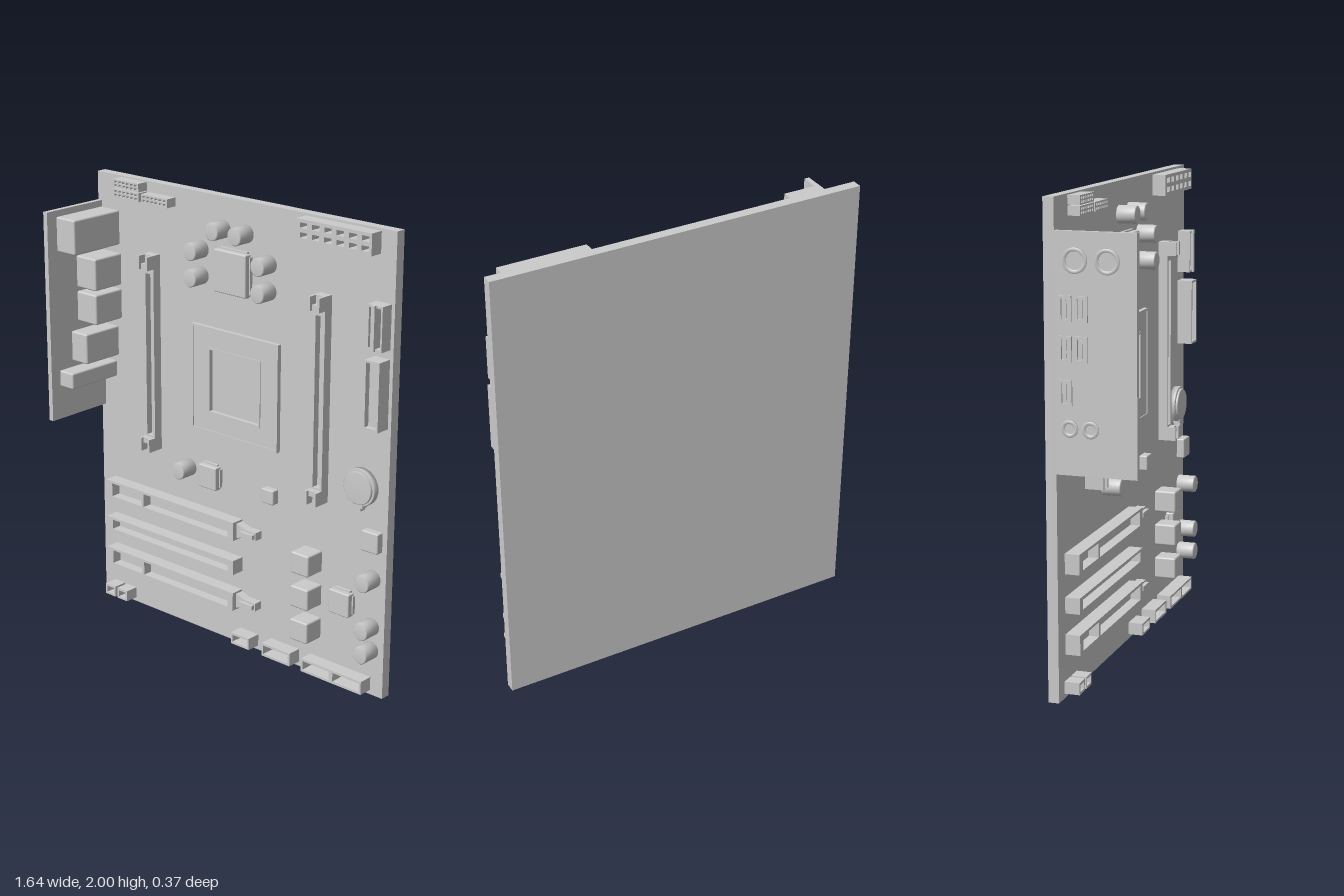
import * as THREE from 'three';
import { RoundedBoxGeometry } from 'three/addons/geometries/RoundedBoxGeometry.js';

const Z = -0.142; // component side of the board
const mat = new THREE.MeshStandardMaterial({ color: 0xcccccc });

export function createModel() {
  const root = new THREE.Group();
  const add = (name, geo, x = 0, y = 0, z = 0) => {
    const m = new THREE.Mesh(geo, mat);
    m.name = name;
    m.position.set(x, y, z);
    root.add(m);
    return m;
  };
  // box given by its limits, standing on the board by default
  const box = (name, x0, x1, y0, y1, z1, z0 = Z) =>
    add(name, new THREE.BoxGeometry(x1 - x0, y1 - y0, z1 - z0), (x0 + x1) / 2, (y0 + y1) / 2, (z0 + z1) / 2);
  const soft = (name, x0, x1, y0, y1, z1, r = 0.008) =>
    add(name, new RoundedBoxGeometry(x1 - x0, y1 - y0, z1 - Z, 2, r), (x0 + x1) / 2, (y0 + y1) / 2, (z1 + Z) / 2);
  const rect = (P, [x0, x1, y0, y1]) => {
    const p = new P();
    p.moveTo(x0, y0).lineTo(x1, y0).lineTo(x1, y1).lineTo(x0, y1).closePath();
    return p;
  };
  // block with rectangular openings through to the board
  const socket = (name, outer, holes, z1, z0 = Z) => {
    const s = rect(THREE.Shape, outer);
    s.holes = holes.map((h) => rect(THREE.Path, h));
    return add(name, new THREE.ExtrudeGeometry(s, { depth: z1 - z0, bevelEnabled: false }), 0, 0, z0);
  };
  const grid = (x0, x1, y0, y1, nx, ny, w, h) => {
    const out = [];
    for (let i = 0; i < nx; i++) for (let j = 0; j < ny; j++) {
      const cx = x0 + ((i + 0.5) * (x1 - x0)) / nx, cy = y0 + ((j + 0.5) * (y1 - y0)) / ny;
      out.push([cx - w / 2, cx + w / 2, cy - h / 2, cy + h / 2]);
    }
    return out;
  };
  const disc = (name, x, y, r, z1, bevel) => {
    const h = z1 - Z;
    const pts = [[0, 0], [r, 0], [r, h - bevel], [r - bevel, h], [0, h]].map(([a, b]) => new THREE.Vector2(a, b));
    const g = new THREE.LatheGeometry(pts, 32).rotateX(Math.PI / 2);
    return add(name, g, x, y, Z);
  };

  // circuit board
  box('board', -0.818, 0.818, 0, 2, Z, -0.187);

  // rear port panel and the port housings behind it
  box('portPanel', -0.818, -0.795, 0.932, 1.874, 0.187);
  [[1.692, 1.846, -0.687, 0.133], [1.512, 1.655, -0.68, 0.02], [1.358, 1.494, -0.68, 0.02],
    [1.183, 1.32, -0.703, 0.06], [1.082, 1.156, -0.716, 0.137]]
    .forEach(([y0, y1, x1, z1]) => soft('portHousing', -0.8, x1, y0, y1, z1));

  // outer port openings
  const ring = (y, z, r) => {
    const pts = [[r - 0.014, 0], [r, 0], [r, 0.008], [r - 0.014, 0.008], [r - 0.014, 0]];
    const g = new THREE.LatheGeometry(pts.map(([a, b]) => new THREE.Vector2(a, b)), 24).rotateZ(Math.PI / 2);
    add('roundPort', g, -0.817, y, z);
  };
  ring(1.763, -0.06, 0.05);
  ring(1.763, 0.07, 0.05);
  ring(1.116, -0.085, 0.034);
  ring(1.116, 0.0, 0.034);
  [[1.58, -0.1], [1.58, -0.035], [1.425, -0.1], [1.425, -0.035], [1.255, -0.1]].forEach(([y, z]) => {
    const m = socket('slotPort', [-0.026, 0.026, -0.05, 0.05], [[-0.015, 0.015, -0.04, 0.04]], 0.008, 0);
    m.rotation.y = -Math.PI / 2;
    m.position.set(-0.817, y, z);
    box('slotPortTongue', -0.823, -0.817, y - 0.035, y + 0.035, z + 0.005, z - 0.005);
  });

  // processor socket: raised frame with a lip around the opening
  socket('processorSocket', [-0.246, 0.242, 0.955, 1.428], [[-0.14, 0.137, 1.053, 1.33]], -0.126);
  socket('processorSocketRim', [-0.246, 0.242, 0.955, 1.428], [[-0.236, 0.232, 0.965, 1.418]], -0.122);
  socket('processorSocketLip', [-0.149, 0.146, 1.044, 1.339], [[-0.14, 0.137, 1.053, 1.33]], -0.122);

  // memory slots with end latches
  for (const x of [-0.476, 0.475]) {
    socket('memorySlot', [x - 0.03, x + 0.03, 0.8, 1.69], [[x - 0.018, x + 0.018, 0.868, 1.606]], -0.1);
    box('memorySlotFloor', x - 0.018, x + 0.018, 0.868, 1.606, -0.13);
    for (const s of [-1, 1]) {
      const y = 1.245 + s * 0.415;
      for (const t of [-1, 1]) {
        const cx = x + t * 0.024;
        box('memoryLatchCheek', cx - 0.006, cx + 0.006, y - 0.03, y + 0.03, -0.062);
      }
      const yi = y - s * 0.018;
      box('memoryLatch', x - 0.02, x + 0.02, yi - 0.012, yi + 0.012, -0.075);
    }
  }

  // expansion slots; the long ones end in a tapered retaining clip
  const expansionSlot = (y, h, divided) => {
    const t = h - 0.011;
    const holes = divided ? [[-0.703, -0.52, y - t, y + t], [-0.505, 0.004, y - t, y + t]]
      : [[-0.703, 0.004, y - t, y + t]];
    socket('expansionSlot', [-0.74, 0.036, y - h, y + h], holes, -0.08);
    box('expansionSlotFloor', -0.703, 0.004, y - t, y + t, -0.125);
    if (!divided) return;
    const s = new THREE.Shape();
    s.moveTo(0.03, y - 0.035).lineTo(0.085, y - 0.018).lineTo(0.145, y - 0.018)
      .lineTo(0.145, y + 0.018).lineTo(0.085, y + 0.018).lineTo(0.03, y + 0.035).closePath();
    add('slotClip', new THREE.ExtrudeGeometry(s, { depth: 0.04, bevelEnabled: false }), 0, 0, Z);
    box('slotClipTab', 0.065, 0.14, y - 0.01, y + 0.01, -0.085);
  };
  expansionSlot(0.552, 0.042, true);
  expansionSlot(0.382, 0.033, false);
  expansionSlot(0.22, 0.042, true);

  // chips with a thin cross of legs
  [[-0.012, 1.69, 0.088, 0.092], [-0.14, 0.753, 0.051, 0.053], [0.206, 0.755, 0.033, 0.033],
    [0.603, 0.383, 0.053, 0.053], [0.755, 0.703, 0.042, 0.045]].forEach(([x, y, w, h]) => {
    soft('chip', x - w, x + w, y - h, y + h, -0.104, 0.006);
    if (w < 0.045) return;
    box('chipLegs', x - w - 0.006, x + w + 0.006, y - h + 0.012, y + h - 0.012, -0.128);
    box('chipLegs', x - w + 0.012, x + w - 0.012, y - h - 0.006, y + h + 0.006, -0.128);
  });

  // capacitors
  [[-0.076, 1.863], [0.05, 1.863], [-0.2, 1.757], [-0.2, 1.643], [0.176, 1.757], [0.176, 1.643],
    [-0.274, 0.758], [0.753, 0.53], [0.753, 0.314], [0.753, 0.207]]
    .forEach(([x, y]) => disc('capacitor', x, y, 0.038, -0.06, 0.005));

  // power coils
  for (const y of [0.53, 0.376, 0.222]) soft('coil', 0.39, 0.485, y - 0.048, y + 0.048, -0.044);

  // coin cell in its holder
  disc('batteryHolder', 0.685, 0.92, 0.081, -0.115, 0.004);
  disc('battery', 0.685, 0.92, 0.071, -0.105, 0.004);
  box('batteryClip', 0.663, 0.71, 0.835, 0.86, -0.112);
  box('batteryClipTab', 0.672, 0.701, 0.822, 0.84, -0.112);

  // pin headers along the top edge
  socket('pinHeader', [-0.673, -0.52, 1.957, 1.994], grid(-0.668, -0.525, 1.96, 1.991, 6, 2, 0.015, 0.009), -0.09);
  socket('pinHeader', [-0.673, -0.52, 1.915, 1.953], grid(-0.668, -0.525, 1.918, 1.95, 6, 2, 0.015, 0.009), -0.09);
  socket('pinHeader', [-0.505, -0.351, 1.915, 1.953], grid(-0.5, -0.356, 1.918, 1.95, 6, 2, 0.015, 0.009), -0.09);

  // main power connector
  socket('powerConnector', [0.362, 0.742, 1.9, 1.99], grid(0.37, 0.742, 1.905, 1.985, 6, 2, 0.037, 0.022), -0.082);

  // drive connectors on the side edge
  socket('driveConnector', [0.727, 0.802, 1.522, 1.708], [[0.735, 0.752, 1.532, 1.698], [0.77, 0.794, 1.532, 1.698]], -0.085);
  box('driveConnectorKey', 0.752, 0.77, 1.522, 1.708, -0.075);
  socket('driveConnector', [0.727, 0.802, 1.193, 1.483], [[0.736, 0.793, 1.203, 1.473]], -0.075);
  box('driveConnectorFloor', 0.736, 0.793, 1.203, 1.473, -0.1);

  // shrouded headers along the bottom edge
  [[-0.756, -0.694, 0.07], [-0.68, -0.618, 0.07], [0.027, 0.132, 0.073],
    [0.206, 0.365, 0.08], [0.428, 0.592, 0.08], [0.592, 0.754, 0.08]].forEach(([x0, x1, y1]) =>
    socket('edgeHeader', [x0, x1, 0.02, y1], [[x0 + 0.01, x1 - 0.01, 0.03, y1 - 0.01]], -0.078));

  return root;
}
